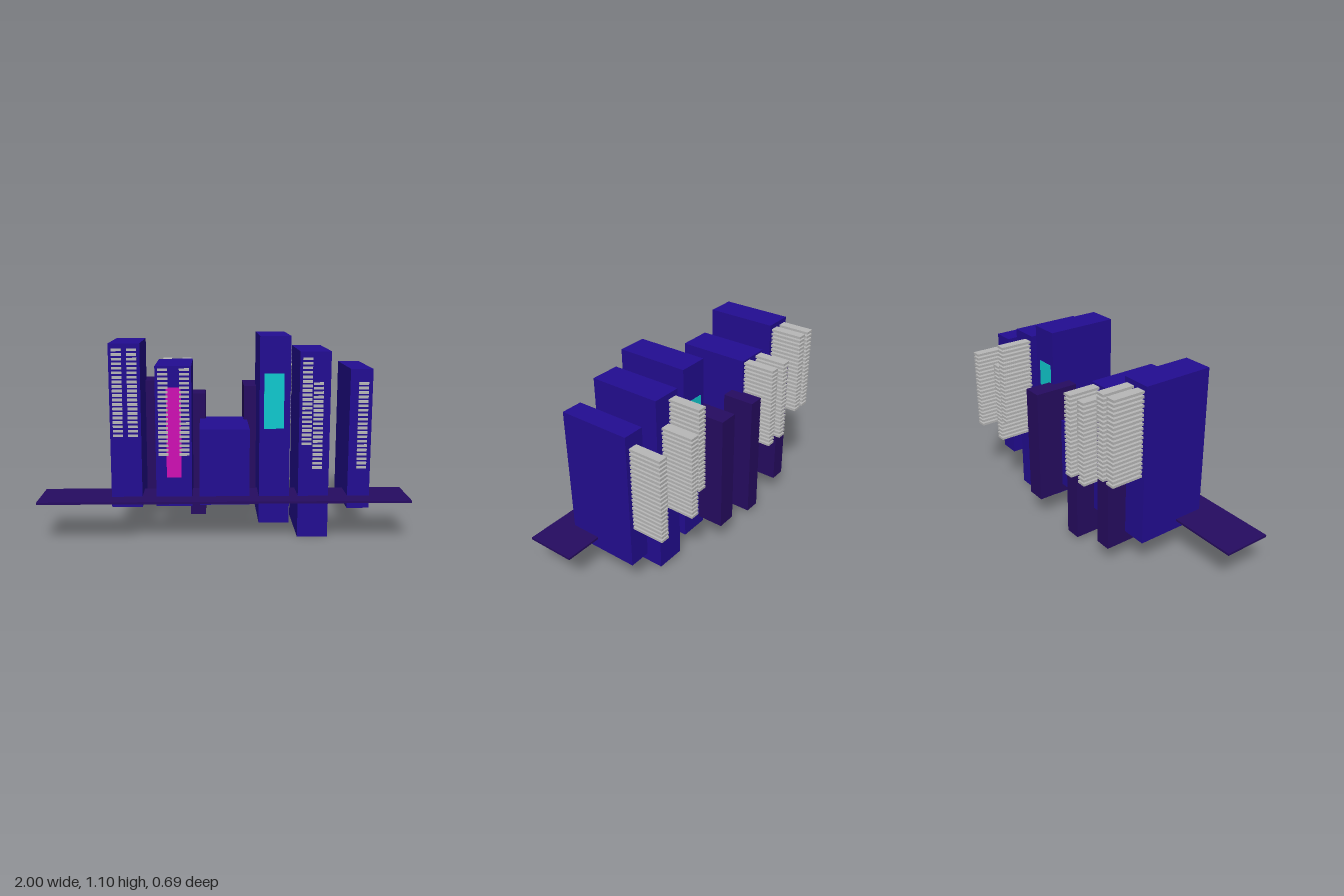
import * as THREE from 'three';

const mat = (name, color) => {
  const m = new THREE.MeshStandardMaterial({ color });
  m.name = name;
  return m;
};

export function createModel() {
  const indigo = mat('indigo', 0x230d92);
  const darkPurple = mat('dark purple', 0x260c61);
  const grey = mat('window grey', 0xb8b8b8);
  const magenta = mat('magenta', 0xd010b4);
  const cyan = mat('cyan', 0x10cad0);

  const city = new THREE.Group();
  city.name = 'citySkyline';

  // box given by its limits on each axis
  const block = (name, material, x0, x1, y0, y1, z0, z1, parent = city) => {
    const mesh = new THREE.Mesh(new THREE.BoxGeometry(x1 - x0, y1 - y0, z1 - z0), material);
    mesh.position.set((x0 + x1) / 2, (y0 + y1) / 2, (z0 + z1) / 2);
    mesh.name = name;
    parent.add(mesh);
  };

  // street strip along the front
  block('street', darkPurple, -1, 1, 0.222, 0.234, 0.073, 0.348);

  // main towers: x0, x1, y0, y1
  const back = -0.162, front = 0.242;
  [
    [-0.612, -0.446, 0.176, 1.065],
    [-0.37, -0.176, 0.18, 0.945],
    [-0.135, 0.136, 0.186, 0.604],
    [0.187, 0.352, 0.083, 1.102],
    [0.4, 0.566, 0, 1.022],
    [0.67, 0.79, 0.164, 0.929],
  ].forEach(([x0, x1, y0, y1]) => block('tower', indigo, x0, x1, y0, y1, back, front));

  // darker buildings in the rear row
  block('rearTower', darkPurple, -0.471, -0.38, 0.11, 0.827, -0.278, -0.093);
  block('rearTower', darkPurple, -0.193, -0.102, 0.029, 0.75, -0.278, -0.093);
  block('rearTower', darkPurple, 0.118, 0.227, 0.136, 0.8, -0.315, -0.056);

  // coloured sign panels showing on both faces of their towers
  const sign = (name, material, x0, x1, y0, y1) => {
    block(name, material, x0, x1, y0, y1, front - 0.002, front + 0.002);
    block(name, material, x0, x1, y0, y1, back - 0.002, back + 0.002);
  };
  sign('magentaSign', magenta, -0.312, -0.232, 0.34, 0.832);
  sign('cyanSign', cyan, 0.211, 0.318, 0.608, 0.906);

  // window columns: long bars running through the towers and out at the rear
  const barHeight = 0.0135, pitch = 0.0241, width = 0.053;
  [
    [-0.596, 1.038],
    [-0.516, 1.038],
    [-0.355, 0.934],
    [-0.241, 0.934],
    [0.415, 0.99],
    [0.475, 0.858],
    [0.715, 0.858],
  ].forEach(([x, top]) => {
    const column = new THREE.Group();
    column.name = 'windowColumn';
    for (let i = 0; i < 20; i++) {
      const y = top - i * pitch;
      block('windowBar', grey, x, x + width, y - barHeight, y, -0.347, 0.248, column);
    }
    city.add(column);
  });

  return city;
}
